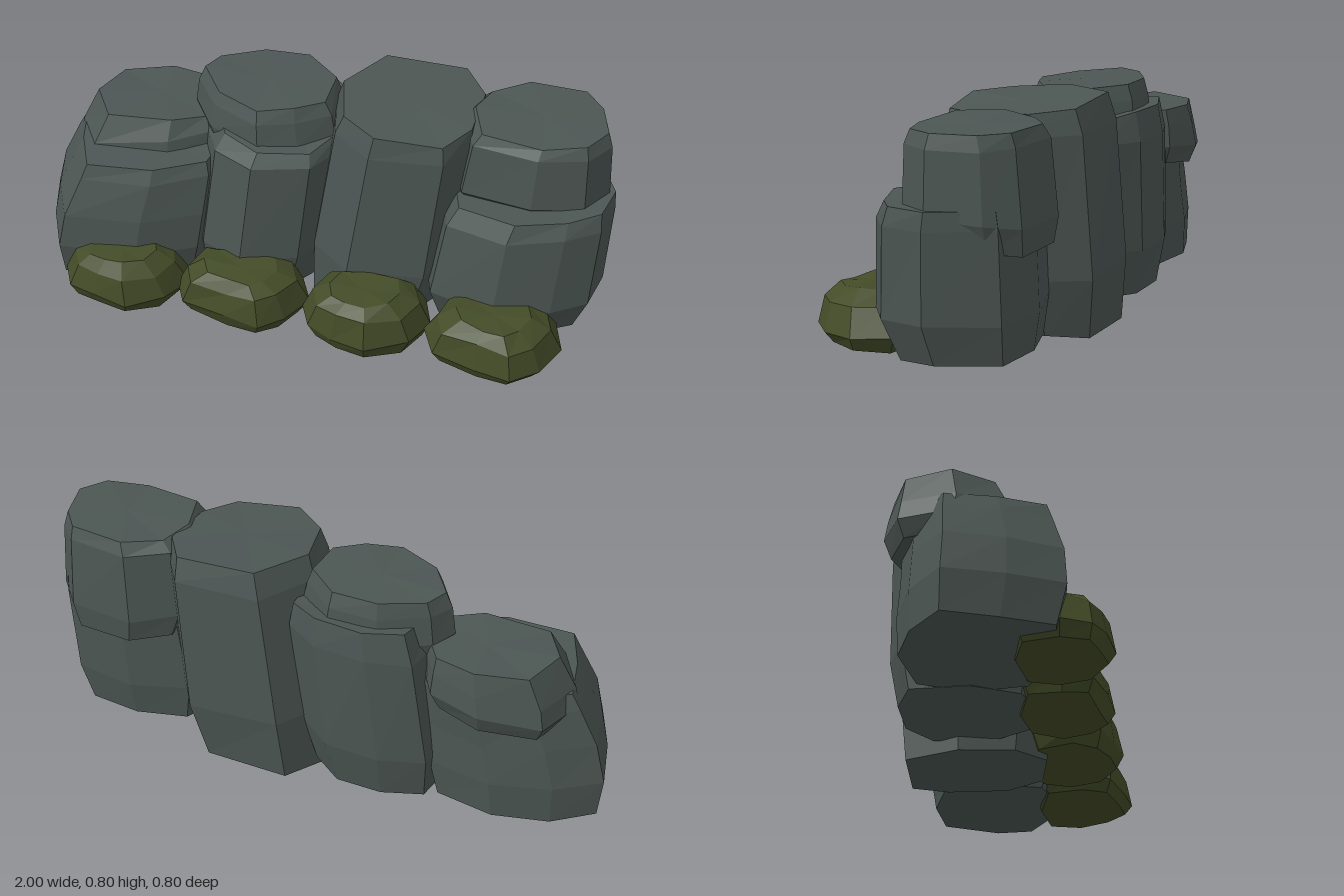
import * as THREE from 'three';

// Seeded noise keeps the chiselled rings slightly uneven
function makeRandom(seed) {
  let s = seed;
  return () => {
    s = (s * 16807) % 2147483647;
    return s / 2147483647 - 0.5;
  };
}

// Faceted boulder: one outline of [x, z] corners (clockwise from above), repeated at
// levels of [y, scale, shiftX, shiftZ, slopeX, slopeZ] and closed at both ends.
function boulder(name, material, outline, levels, seed, rough = 0.012) {
  const random = makeRandom(seed);
  const n = outline.length;
  const cx = outline.reduce((sum, p) => sum + p[0], 0) / n;
  const cz = outline.reduce((sum, p) => sum + p[1], 0) / n;
  const rings = levels.map(([y, scale, sx = 0, sz = 0, slopeX = 0, slopeZ = 0]) =>
    outline.map(([x, z]) => {
      const dx = (x - cx) * scale, dz = (z - cz) * scale;
      return [
        cx + dx + sx + random() * rough * 0.5,
        y + dx * slopeX + dz * slopeZ + random() * rough,
        cz + dz + sz + random() * rough * 0.5,
      ];
    }));
  const centre = (ring) => [0, 1, 2].map((k) => ring.reduce((sum, p) => sum + p[k], 0) / n);
  const bottom = rings[0], top = rings[rings.length - 1];
  const low = centre(bottom), high = centre(top);
  const points = [];
  for (let i = 0; i < n; i++) {
    const j = (i + 1) % n;
    for (let k = 0; k < rings.length - 1; k++) {
      const a = rings[k], b = rings[k + 1];
      points.push(...a[j], ...a[i], ...b[i], ...a[j], ...b[i], ...b[j]);
    }
    points.push(...high, ...top[j], ...top[i], ...low, ...bottom[i], ...bottom[j]);
  }
  const geometry = new THREE.BufferGeometry();
  geometry.setAttribute('position', new THREE.Float32BufferAttribute(points, 3));
  geometry.computeVertexNormals();
  const mesh = new THREE.Mesh(geometry, material);
  mesh.name = name;
  return mesh;
}

export function createModel() {
  const model = new THREE.Group();
  model.name = 'rockCliff';
  const rock = new THREE.MeshStandardMaterial({ color: 0x4c5653, flatShading: true });
  rock.name = 'slate';
  const moss = new THREE.MeshStandardMaterial({ color: 0x434c28, flatShading: true });
  moss.name = 'moss';

  // First column: wide leaning block with a low cap
  model.add(boulder('firstLowerRock', rock,
    [[-0.86, -0.26], [-0.66, -0.32], [-0.44, -0.28], [-0.37, -0.1], [-0.4, 0.1],
      [-0.6, 0.2], [-0.87, 0.215], [-0.95, 0.04], [-1.0, -0.15]],
    [[0.055, 0.92, -0.01, -0.01], [0.19, 1], [0.33, 0.97, 0.025, 0], [0.47, 0.9, 0.065, -0.015, 0.06],
      [0.525, 0.84, 0.075, -0.02, 0.05]], 11));
  model.add(boulder('firstUpperRock', rock,
    [[-0.83, -0.3], [-0.63, -0.365], [-0.46, -0.33], [-0.37, -0.2], [-0.39, -0.05],
      [-0.52, 0.03], [-0.79, 0.04], [-0.89, -0.12]],
    [[0.42, 0.88, 0, 0, 0.1], [0.48, 1, 0, 0, 0.12], [0.55, 0.96, 0.005, 0, 0.14], [0.626, 0.82, 0.02, -0.01]], 23));

  // Second column: tall leaning trunk, with a cap set towards the front
  model.add(boulder('secondLowerRock', rock,
    [[-0.43, -0.33], [-0.28, -0.38], [-0.09, -0.37], [0.04, -0.28], [0.06, -0.06],
      [-0.03, 0.1], [-0.22, 0.16], [-0.37, 0.08], [-0.46, -0.1]],
    [[0.05, 0.87, -0.03, 0], [0.21, 1, -0.015, 0], [0.59, 0.97, 0.03, -0.01], [0.665, 0.88, 0.04, -0.02, -0.04, -0.12]], 37));
  model.add(boulder('secondUpperRock', rock,
    [[-0.43, -0.25], [-0.27, -0.335], [-0.09, -0.34], [0.05, -0.22], [0.05, -0.05],
      [-0.06, 0.03], [-0.19, 0.075], [-0.37, -0.01], [-0.47, -0.16]],
    [[0.55, 0.9], [0.63, 1], [0.72, 0.94], [0.77, 0.86, 0, 0]], 41));

  // Third column: one full-height leaning block, highest at the back
  model.add(boulder('thirdRock', rock,
    [[0.09, -0.385], [0.41, -0.395], [0.51, -0.26], [0.5, -0.03], [0.42, 0.11],
      [0.16, 0.14], [0.02, 0.03], [-0.03, -0.18]],
    [[0.02, 0.9, -0.05, 0, 0.06, 0.03], [0.23, 1, -0.02, 0], [0.7, 0.94, 0.035, 0.0, -0.03, -0.02],
      [0.775, 0.87, 0.045, 0.005, -0.06, -0.05]], 53));

  // Fourth column: broad base and an overhanging upper block
  model.add(boulder('fourthLowerRock', rock,
    [[0.46, -0.28], [0.66, -0.335], [0.88, -0.31], [0.985, -0.09], [0.955, 0.06],
      [0.84, 0.14], [0.65, 0.2], [0.43, 0.13], [0.37, -0.08]],
    [[0.055, 0.85, -0.01, -0.02], [0.19, 1], [0.48, 0.95, 0.03, -0.01, 0.04], [0.535, 0.88, 0.045, -0.02, 0.05]], 67));
  model.add(boulder('fourthUpperRock', rock,
    [[0.48, -0.29], [0.62, -0.38], [0.85, -0.36], [0.93, -0.27], [0.975, -0.1],
      [0.91, 0.01], [0.74, 0.06], [0.5, 0.02], [0.44, -0.15]],
    [[0.44, 0.86, 0, -0.02, 0, 0.22], [0.515, 1, 0, 0, 0, 0.12], [0.73, 0.93, 0.01, 0.005],
      [0.772, 0.84, 0.02, 0.005]], 71));

  // Moss clumps along the foot: [centre x, centre z, half width, half depth, lean of the front point]
  const clumps = [[-0.635, 0.19, 0.22, 0.165, -0.1], [-0.22, 0.185, 0.235, 0.165, 0.15],
    [0.225, 0.2, 0.225, 0.17, -0.15], [0.665, 0.22, 0.235, 0.18, 0.1]];
  clumps.forEach(([x, z, w, d, lean], i) => {
    const shape = [[-0.8, -0.8], [0, -1], [0.8, -0.8], [1, -0.1], [0.75, 0.6],
      [0.3 + lean, 1], [-0.25 + lean, 0.85], [-0.8, 0.6], [-1, 0]];
    model.add(boulder('mossClump' + (i + 1), moss,
      shape.map(([u, v]) => [x + u * w, z + v * d]),
      [[0.045, 0.85], [0.095, 1], [0.185, 0.82, 0, 0.01], [0.226, 0.54, 0, 0.015]], 101 + i * 977, 0.016));
  });
  return model;
}
